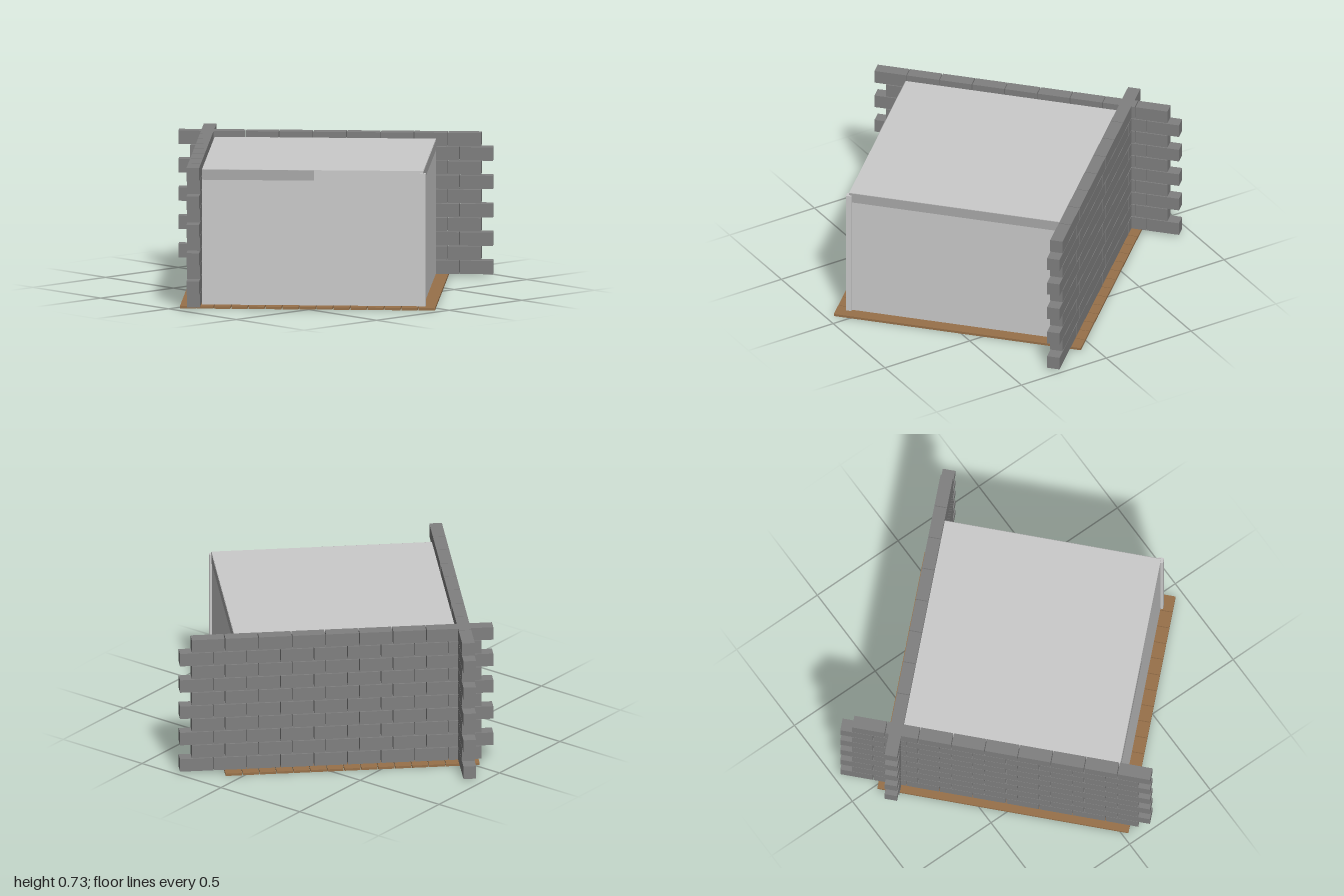
import * as THREE from 'three';

const mat = (color) => new THREE.MeshStandardMaterial({ color, flatShading: true });
const WOOD = mat(0x98714a);
const STONE = mat(0x808080);
const PLAIN = mat(0xcccccc);
const SHADE = mat(0xaaaaaa);

// Box given by its minimum and maximum corners
function block(name, material, [x0, y0, z0], [x1, y1, z1]) {
  const mesh = new THREE.Mesh(new THREE.BoxGeometry(x1 - x0, y1 - y0, z1 - z0), material);
  mesh.position.set((x0 + x1) / 2, (y0 + y1) / 2, (z0 + z1) / 2);
  mesh.name = name;
  return mesh;
}

// Planked floor, boards running along z
function makeFloor() {
  const floor = new THREE.Group();
  floor.name = 'floor';
  const half = 0.643, count = 15, pitch = (2 * half) / count, gap = 0.004;
  for (let i = 0; i < count; i++) {
    const x = -half + i * pitch;
    floor.add(block('floorPlank', WOOD,
      [x + (i ? gap / 2 : 0), 0, -half],
      [x + pitch - (i < count - 1 ? gap / 2 : 0), 0.012, half]));
  }
  return floor;
}

// Brick wall along x; rows alternate between two start positions
function makeWall(name, oddStart, evenStart, thickness) {
  const wall = new THREE.Group();
  wall.name = name;
  const rows = 10, perRow = 9, length = 0.17, pitch = 0.0722, gap = 0.004;
  for (let r = 0; r < rows; r++) {
    const start = r % 2 ? evenStart : oddStart;
    const y = 0.012 + r * pitch;
    for (let i = 0; i < perRow; i++) {
      const x = start + i * length;
      wall.add(block('brick', STONE,
        [x + gap / 2, y, -thickness / 2],
        [x + length - gap / 2, y + pitch - gap, thickness / 2]));
    }
  }
  return wall;
}

// Plain room body with header bands under the roof and a corner post
function makeRoom() {
  const room = new THREE.Group();
  room.name = 'room';
  const lo = -0.535, hi = 0.58, base = 0.012, top = 0.7, band = 0.647, skin = 0.003;
  room.add(
    block('roomBody', PLAIN, [lo, base, lo], [hi, top, hi]),
    block('sideHeader', SHADE, [hi, band, lo], [hi + skin, top - 0.001, hi]),
    block('frontHeader', SHADE, [lo, band, hi], [0.03, top - 0.001, hi + skin]),
    block('cornerPost', PLAIN, [0.565, base, 0.565], [0.593, 0.688, 0.593]),
  );
  return room;
}

export function createModel() {
  const model = new THREE.Group();
  model.name = 'walledRoom';

  const corner = new THREE.Group();
  corner.name = 'cornerBuilding';
  corner.position.set(-0.04, 0, 0.05);
  corner.rotation.y = -0.808;
  model.add(corner);

  // Two brick walls crossing at the back corner
  const leftWall = makeWall('leftBackWall', -0.66, -0.72, 0.064);
  leftWall.position.z = -0.56;
  const rightWall = makeWall('rightBackWall', -0.842, -0.782, 0.064);
  rightWall.rotation.y = -Math.PI / 2;
  rightWall.position.x = -0.572;

  corner.add(makeFloor(), makeRoom(), leftWall, rightWall);
  return model;
}
